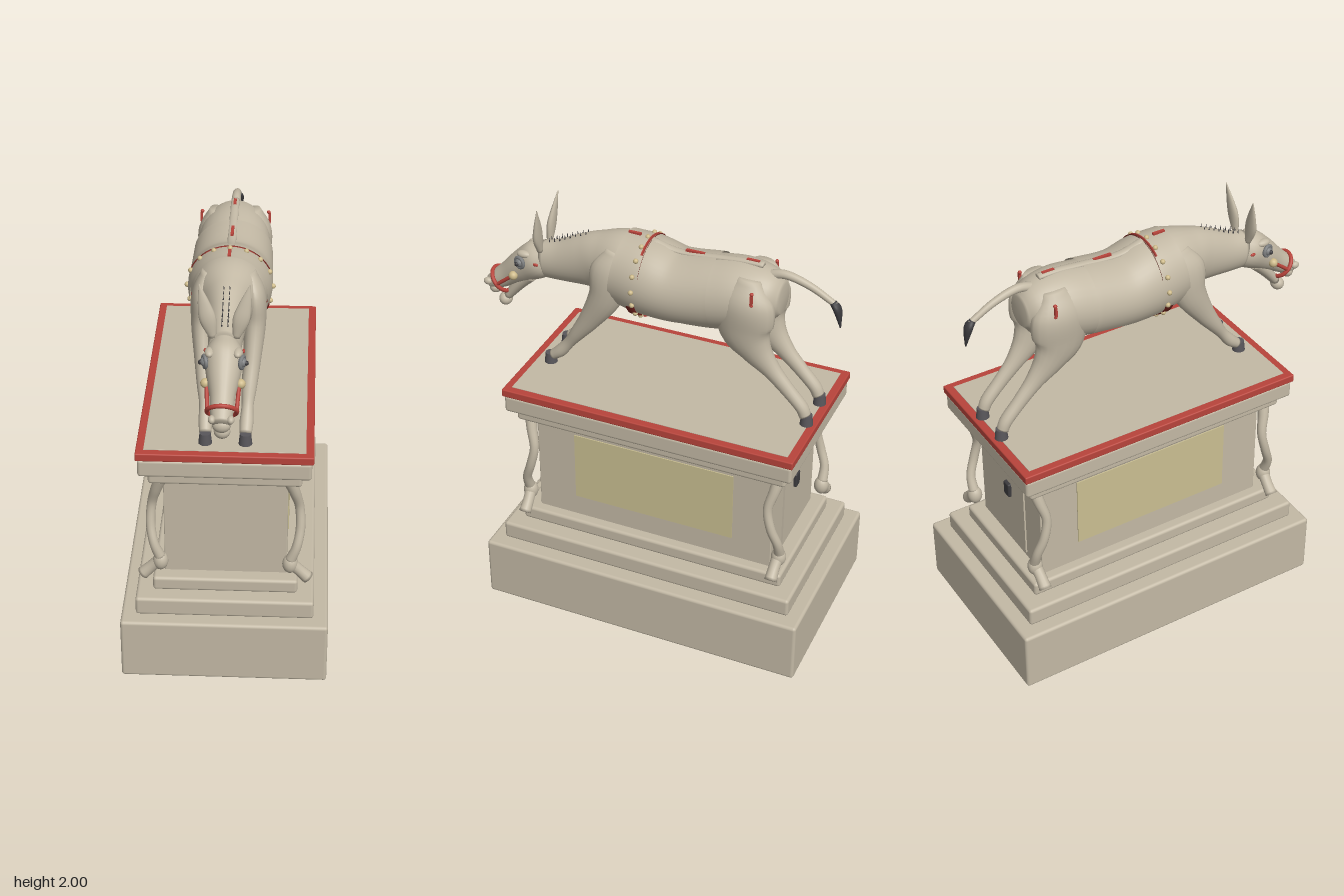
import * as THREE from 'three';
import { RoundedBoxGeometry } from 'three/addons/geometries/RoundedBoxGeometry.js';

const mat = (name, color, side = THREE.FrontSide) => {
  const m = new THREE.MeshStandardMaterial({ color, side });
  m.name = name;
  return m;
};

// Smooth skin through elliptical sections [x, y, z, rx, ry]; arc = [from, to] in degrees leaves it open
function loft(sections, steps = 32, sides = 24, arc = null) {
  const path = new THREE.CatmullRomCurve3(sections.map(s => new THREE.Vector3(s[0], s[1], s[2])), false, 'catmullrom');
  const size = new THREE.CatmullRomCurve3(sections.map(s => new THREE.Vector3(s[3], s[4], 0)), false, 'catmullrom');
  const a0 = arc ? THREE.MathUtils.degToRad(arc[0]) : 0;
  const a1 = arc ? THREE.MathUtils.degToRad(arc[1]) : Math.PI * 2;
  const cols = arc ? sides + 1 : sides;
  const pos = [], idx = [];
  const ring = (k, scale) => {
    const p = path.getPoint(k), r = size.getPoint(k), t = path.getTangent(k);
    const u = new THREE.Vector3(1, 0, 0).addScaledVector(t, -t.x).normalize();
    const v = new THREE.Vector3().crossVectors(t, u);
    for (let j = 0; j < cols; j++) {
      const a = a0 + (a1 - a0) * j / sides;
      const q = p.clone().addScaledVector(u, Math.max(r.x, 0) * scale * Math.cos(a))
        .addScaledVector(v, Math.max(r.y, 0) * scale * Math.sin(a));
      pos.push(q.x, q.y, q.z);
    }
  };
  let rows = 0;
  if (!arc) { ring(0, 0); rows++; }
  for (let i = 0; i <= steps; i++, rows++) ring(i / steps, 1);
  if (!arc) { ring(1, 0); rows++; }
  for (let i = 0; i < rows - 1; i++) {
    for (let j = 0; j < sides; j++) {
      const a = i * cols + j, b = i * cols + (j + 1) % cols;
      idx.push(a, b, a + cols, b, b + cols, a + cols);
    }
  }
  const g = new THREE.BufferGeometry();
  g.setAttribute('position', new THREE.Float32BufferAttribute(pos, 3));
  g.setIndex(idx);
  g.computeVertexNormals();
  return g;
}

export function createModel() {
  const stone = mat('stone', 0xc3b9a5);
  const cloth = mat('cloth', 0xc1b7a3, THREE.DoubleSide);
  const red = mat('red', 0xb8443b, THREE.DoubleSide);
  const darkRed = mat('dark red', 0x74241e, THREE.DoubleSide);
  const ochre = mat('panel ochre', 0xcabf92);
  const brass = mat('brass', 0xcdba8a);
  const hoofGrey = mat('hoof grey', 0x58565a);
  const dark = mat('dark', 0x3c3b3e);
  const eyeGrey = mat('eye grey', 0x7d7f80);

  const model = new THREE.Group();
  const plinth = new THREE.Group(), animal = new THREE.Group();
  plinth.name = 'plinth';
  animal.name = 'donkey';
  model.add(plinth, animal);
  const add = (parent, name, geo, material, x = 0, y = 0, z = 0) => {
    const m = new THREE.Mesh(geo, material);
    m.name = name;
    m.position.set(x, y, z);
    parent.add(m);
    return m;
  };
  const ball = (r, sx = 1, sy = 1, sz = 1) => new THREE.SphereGeometry(r, 18, 12).scale(sx, sy, sz);

  // Stacked plinth: name, half width, half length, bottom, top, edge radius, material
  const Z = -0.09;
  for (const [name, hx, hz, y0, y1, r, m] of [
    ['base', 0.483, 0.807, 0, 0.313, 0.015, stone],
    ['lowerStep', 0.415, 0.742, 0.313, 0.405, 0.015, stone],
    ['upperStep', 0.337, 0.67, 0.405, 0.475, 0.015, stone],
    ['dado', 0.285, 0.6, 0.47, 1.01, 0.004, stone],
    ['lowerCornice', 0.348, 0.675, 1.0, 1.062, 0.015, stone],
    ['upperCornice', 0.39, 0.715, 1.062, 1.15, 0.015, stone],
    ['redSlab', 0.398, 0.722, 1.15, 1.189, 0.006, red],
    ['deck', 0.362, 0.685, 1.18, 1.192, 0.001, stone],
  ]) {
    add(plinth, name, new RoundedBoxGeometry(hx * 2, y1 - y0, hz * 2, 3, r), m, 0, (y0 + y1) / 2, Z);
  }
  for (const s of [-1, 1]) {
    add(plinth, 'sidePanel', new THREE.BoxGeometry(0.008, 0.36, 0.81), ochre, s * 0.286, 0.765, -0.09);
  }
  add(plinth, 'backDoor', new THREE.BoxGeometry(0.28, 0.43, 0.012), stone, 0, 0.715, -0.692);
  add(plinth, 'doorHandle', new RoundedBoxGeometry(0.05, 0.075, 0.025, 2, 0.008), dark, 0, 0.8, -0.702);

  // Curved corner brackets with splayed feet
  for (const sx of [-1, 1]) for (const sz of [-1, 1]) {
    const put = (p) => [sx * p[0], p[1], Z + sz * p[2], p[3], p[3]];
    add(plinth, 'cornerBracket', loft([
      [0.29, 1.01, 0.63, 0.03], [0.315, 0.94, 0.615, 0.026], [0.338, 0.85, 0.595, 0.022], [0.345, 0.75, 0.615, 0.022],
      [0.33, 0.66, 0.645, 0.022], [0.3, 0.58, 0.648, 0.026]].map(put), 28, 14), stone);
    add(plinth, 'bracketKnuckle', ball(0.036, 1, 1.3, 1), stone, sx * 0.3, 0.56, Z + sz * 0.645);
    add(plinth, 'bracketFoot', loft([
      [0.29, 0.575, 0.645, 0.03], [0.34, 0.525, 0.64, 0.027], [0.385, 0.48, 0.64, 0.03]].map(put), 10, 14), stone);
  }

  // Body and neck in one skin
  add(animal, 'bodyAndNeck', loft([
    [-0.6, 1.765, 0.07, 0.07], [-0.54, 1.765, 0.13, 0.13], [-0.42, 1.755, 0.165, 0.162], [-0.28, 1.73, 0.175, 0.17],
    [-0.1, 1.715, 0.18, 0.165], [0.05, 1.735, 0.18, 0.18], [0.18, 1.755, 0.16, 0.172], [0.28, 1.755, 0.118, 0.145],
    [0.36, 1.74, 0.095, 0.13], [0.48, 1.71, 0.078, 0.105], [0.58, 1.695, 0.07, 0.092]]
    .map(([z, ...r]) => [0, r[0], z, r[1], r[2]]), 60, 32), stone);

  // Head with open jaw
  add(animal, 'head', loft([
    [0, 1.735, 0.55, 0.05, 0.055], [0, 1.69, 0.61, 0.084, 0.092], [0, 1.635, 0.69, 0.074, 0.08],
    [0, 1.575, 0.77, 0.055, 0.06], [0, 1.535, 0.825, 0.05, 0.05], [0, 1.505, 0.872, 0.04, 0.034]], 32, 24), stone);
  add(animal, 'lowerJaw', loft([
    [0, 1.6, 0.65, 0.05, 0.035], [0, 1.53, 0.72, 0.04, 0.03], [0, 1.45, 0.785, 0.03, 0.022]], 12, 16), stone);
  add(animal, 'chin', ball(0.034, 1.05, 0.95, 0.95), stone, 0, 1.425, 0.802);
  add(animal, 'upperLip', ball(0.034, 1.2, 1, 0.9), stone, 0, 1.485, 0.85);

  // Noseband
  add(animal, 'noseband', new THREE.TorusGeometry(0.064, 0.01, 10, 32), red, 0, 1.532, 0.815).rotation.x = 0.68;

  // Mirrored parts
  for (const s of [-1, 1]) {
    const side = (list) => list.map(p => [s * p[0], ...p.slice(1)]);
    add(animal, 'frontLeg', loft(side([
      [0.09, 1.87, 0.17, 0.03, 0.05], [0.115, 1.77, 0.19, 0.05, 0.1], [0.118, 1.64, 0.22, 0.05, 0.08],
      [0.11, 1.5, 0.3, 0.04, 0.053], [0.1, 1.4, 0.37, 0.035, 0.037], [0.095, 1.33, 0.42, 0.027, 0.027],
      [0.092, 1.27, 0.468, 0.031, 0.03], [0.09, 1.235, 0.51, 0.027, 0.025]]), 40, 18), stone);
    add(animal, 'hindLeg', loft(side([
      [0.09, 1.88, -0.47, 0.03, 0.05], [0.1, 1.77, -0.46, 0.075, 0.13], [0.1, 1.63, -0.46, 0.065, 0.13],
      [0.095, 1.53, -0.51, 0.053, 0.08], [0.09, 1.44, -0.585, 0.038, 0.045], [0.09, 1.36, -0.66, 0.031, 0.034],
      [0.09, 1.28, -0.735, 0.031, 0.03], [0.09, 1.235, -0.757, 0.028, 0.028]]), 40, 18), stone);
    for (const [name, z] of [['frontHoof', 0.525], ['hindHoof', -0.765]]) {
      add(animal, name, new THREE.CylinderGeometry(0.025, 0.031, 0.052, 16), hoofGrey, s * 0.09, 1.217, z);
    }
    add(animal, 'ear', loft(side([
      [0.05, 1.76, 0.58, 0.016, 0.014], [0.07, 1.84, 0.578, 0.036, 0.018], [0.087, 1.91, 0.57, 0.027, 0.013],
      [0.108, 2.0, 0.558, 0.002, 0.002]]), 18, 14), stone);

    // Eye: socket ring, ball and pupil
    add(animal, 'eyeRing', new THREE.TorusGeometry(0.025, 0.009, 8, 20), eyeGrey, s * 0.08, 1.692, 0.675)
      .rotation.y = s * 1.25;
    add(animal, 'eyeball', ball(0.022), eyeGrey, s * 0.079, 1.692, 0.675);
    add(animal, 'pupil', ball(0.011), dark, s * 0.097, 1.692, 0.681);
    add(animal, 'brow', ball(0.03, 0.7, 0.6, 1.2), stone, s * 0.06, 1.73, 0.66);
    add(animal, 'nostril', ball(0.018, 0.9, 1, 1.2), stone, s * 0.04, 1.525, 0.872);

    // Bridle
    add(animal, 'cheekStrap', new THREE.TubeGeometry(new THREE.LineCurve3(
      new THREE.Vector3(s * 0.07, 1.612, 0.712), new THREE.Vector3(s * 0.062, 1.53, 0.815)), 4, 0.009, 8), red);
    add(animal, 'bridleStud', ball(0.022), brass, s * 0.075, 1.61, 0.715);
    add(animal, 'headMark', ball(0.01, 0.6, 0.8, 1.4), red, s * 0.083, 1.7, 0.59);

    // Hip ornament
    add(animal, 'hipMark', new THREE.BoxGeometry(0.012, 0.045, 0.012), red, s * 0.162, 1.82, -0.505);
    for (const y of [1.792, 1.848]) add(animal, 'hipStud', ball(0.009), red, s * 0.158, y, -0.505);

    // Mane bristles
    for (let z = 0.36; z < 0.56; z += 0.027) {
      add(animal, 'maneBristle', new THREE.ConeGeometry(0.005, 0.035, 6), dark, s * 0.013, 1.88 - (z - 0.36) * 0.42, z);
    }

    // Lower girth plate on each flank
    const plate = s > 0 ? [-85, -24] : [204, 265];
    add(animal, 'girthPlate', loft([[0, 1.735, 0.03, 0.197, 0.192], [0, 1.735, 0.09, 0.195, 0.192]], 2, 14, plate), darkRed);
  }

  // Saddle blanket over the back
  add(animal, 'blanket', loft([
    [0, 1.735, -0.3, 0.184, 0.174], [0, 1.715, -0.1, 0.191, 0.173], [0, 1.735, 0.05, 0.192, 0.189],
    [0, 1.752, 0.18, 0.174, 0.182]], 24, 32, [-38, 218]), cloth);

  // Girth studs and red top strap
  for (let a = -64; a <= 244; a += 22) {
    const t = THREE.MathUtils.degToRad(a);
    add(animal, 'girthStud', ball(0.012), brass, 0.195 * Math.cos(t), 1.735 + 0.192 * Math.sin(t), 0.057);
  }
  add(animal, 'topStrap', loft([[0, 1.735, 0.03, 0.195, 0.194], [0, 1.735, 0.045, 0.195, 0.194]], 2, 14, [55, 125]), red);

  // Spine strip with red inlays
  add(animal, 'spineStrip', loft([
    [0, 1.912, -0.5, 0.02, 0.012], [0, 1.912, -0.4, 0.02, 0.012], [0, 1.902, -0.28, 0.02, 0.01],
    [0, 1.888, -0.1, 0.02, 0.01], [0, 1.918, 0.03, 0.02, 0.01]], 24, 12), stone);
  for (const [y, z, len] of [[1.923, -0.45, 0.06], [1.903, -0.175, 0.09], [1.934, 0.12, 0.06]]) {
    add(animal, 'spineInlay', new THREE.BoxGeometry(0.014, 0.01, len), red, 0, y, z);
  }

  // Tail and tuft
  add(animal, 'tail', loft([
    [0, 1.86, -0.5, 0.024, 0.024], [0, 1.887, -0.6, 0.021, 0.02], [0, 1.855, -0.72, 0.017, 0.017],
    [0, 1.79, -0.84, 0.014, 0.014]], 24, 14), stone);
  add(animal, 'tailTuft', loft([
    [0, 1.8, -0.825, 0.016, 0.016], [0, 1.765, -0.85, 0.026, 0.018], [0, 1.68, -0.867, 0.004, 0.003]], 12, 12), dark);

  return model;
}
